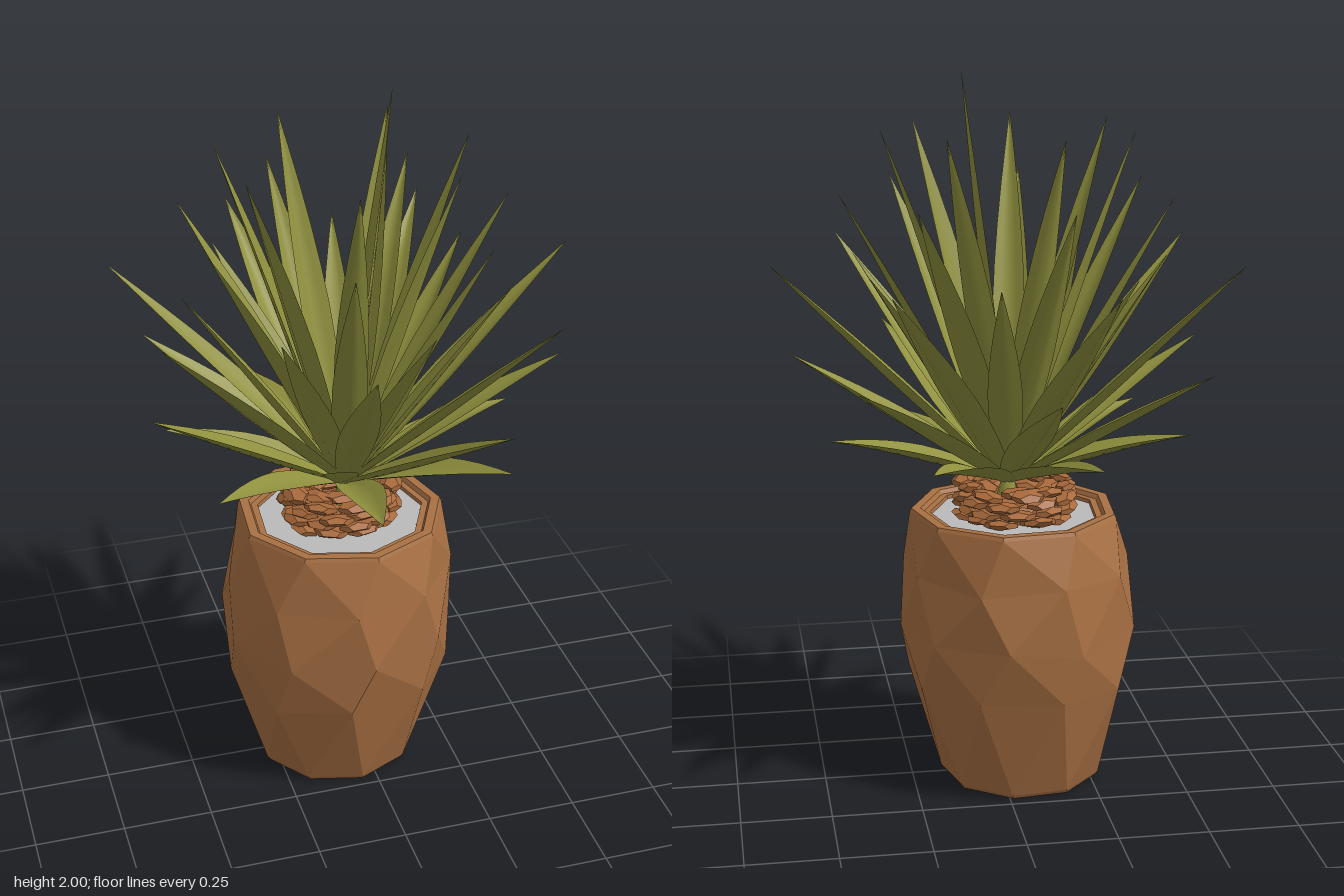
import * as THREE from 'three';

const mat = (name, color, extra = {}) => {
  const m = new THREE.MeshStandardMaterial({ color, ...extra });
  m.name = name;
  return m;
};

// small seeded random in -1..1
function seeded(seed) {
  return () => {
    seed = (seed * 16807) % 2147483647;
    return (seed / 2147483647) * 2 - 1;
  };
}

function meshOf(name, geometry, material) {
  const m = new THREE.Mesh(geometry, material);
  m.name = name;
  return m;
}

// faceted pot: rings of nine slightly uneven corners
function potGeometry() {
  const n = 9, rnd = seeded(77);
  // [y, radius, turn, jitter, centre x]
  const rows = [
    [0, 0, 0, 0, -0.065], [0, 0.222, 0, 0.004, -0.065], [0.012, 0.23, 0, 0, -0.065],
    [0.3, 0.318, 0.3, 0.009, -0.058], [0.46, 0.336, 0, 0.008, -0.058],
    [0.63, 0.326, 0.3, 0.007, -0.055], [0.78, 0.293, 0, 0, -0.045], [0.79, 0.288, 0, 0, -0.045],
    [0.79, 0.262, 0, 0, -0.045], [0.778, 0.255, 0, 0, -0.045],
    [0.778, 0.236, 0, 0, -0.045], [0.755, 0.232, 0, 0, -0.045],
  ];
  const rings = rows.map(([y, r, turn, jit, cx]) => Array.from({ length: n }, (_, j) => {
    const a = ((j + turn + 0.12 + rnd() * jit * 8) / n) * Math.PI * 2;
    const rr = r + rnd() * jit * 0.3;
    const yy = y > 0.1 ? y + rnd() * jit * 2 : y;
    return [cx + Math.cos(a) * rr, yy, Math.sin(a) * rr];
  }));
  const pos = [];
  for (let i = 0; i < rows.length - 1; i++) {
    for (let j = 0; j < n; j++) {
      const k = (j + 1) % n;
      const a = rings[i][j], b = rings[i][k], c = rings[i + 1][j], d = rings[i + 1][k];
      if (rows[i][2] > rows[i + 1][2]) pos.push(...a, ...c, ...d, ...a, ...d, ...b);
      else pos.push(...a, ...c, ...b, ...b, ...c, ...d);
    }
  }
  const g = new THREE.BufferGeometry();
  g.setAttribute('position', new THREE.Float32BufferAttribute(pos, 3));
  g.computeVertexNormals();
  return g;
}

// pointed leaf with a folded cross-section, swept from its base to its tip
function leafGeometry(base, tip, halfWidth, bow) {
  const widths = [0.45, 0.7, 0.89, 0.98, 1, 0.9, 0.74, 0.53, 0.28, 0.02];
  const mid = base.clone().lerp(tip, 0.5);
  mid.y += bow;
  const curve = new THREE.QuadraticBezierCurve3(base, mid, tip);
  const out = tip.clone().sub(base).setY(0).normalize();
  const side = new THREE.Vector3(-out.z, 0, out.x);
  const across = [-1, -0.5, 0, 0.5, 1], m = across.length;
  const pos = [], index = [];
  widths.forEach((k, i) => {
    const t = i / (widths.length - 1), w = k * halfWidth;
    const p = curve.getPoint(t);
    const up = new THREE.Vector3().crossVectors(side, curve.getTangent(t)).normalize();
    if (up.y < 0) up.negate();
    for (const s of across) {
      const q = p.clone().addScaledVector(side, s * w).addScaledVector(up, (Math.abs(s) - 0.5) * w * 0.5);
      pos.push(q.x, q.y, q.z);
    }
    if (i) for (let j = 0; j < m - 1; j++) {
      const a = (i - 1) * m + j, c = i * m + j;
      index.push(a, a + 1, c, a + 1, c + 1, c);
    }
  });
  const g = new THREE.BufferGeometry();
  g.setAttribute('position', new THREE.Float32BufferAttribute(pos, 3));
  g.setIndex(index);
  g.computeVertexNormals();
  return g;
}

export function createModel() {
  const root = new THREE.Group();
  root.name = 'pottedPlant';
  const clay = mat('clay', 0xa87043, { flatShading: true });
  const bark = mat('bark', 0xa8693b, { flatShading: true });
  const gravel = mat('gravel', 0xbababa);
  const leafGreen = mat('leafGreen', 0x8f903d, { side: THREE.DoubleSide });

  root.add(meshOf('pot', potGeometry(), clay));

  // pale filling inside the rim
  const soil = meshOf('soil', new THREE.CircleGeometry(0.234, 9), gravel);
  soil.rotation.set(-Math.PI / 2, 0, -0.24 * Math.PI / 9);
  soil.position.set(-0.045, 0.768, 0);
  root.add(soil);

  // heap of bark chips round the stem
  const chips = new THREE.Group();
  chips.name = 'barkChips';
  chips.position.set(-0.045, 0, -0.01);
  const chipShape = new THREE.DodecahedronGeometry(1, 0);
  const rnd = seeded(4242);
  for (let row = 0; row < 4; row++) {
    for (const [radius, count] of [[0.14, 10], [0.088, 6]]) {
      for (let j = 0; j < count; j++) {
        const a = ((j + row * 0.5 + rnd() * 0.2) / count) * Math.PI * 2;
        const chip = meshOf('barkChip', chipShape, bark);
        const r = radius + rnd() * 0.008;
        chip.position.set(Math.cos(a) * r, 0.782 + row * 0.026 + rnd() * 0.005, Math.sin(a) * r);
        chip.scale.set(0.034, 0.015, 0.052);
        chip.rotation.set(rnd() * 0.22, -a, rnd() * 0.22);
        chips.add(chip);
      }
    }
  }
  root.add(chips);

  // stem
  const stem = meshOf('stem', new THREE.CylinderGeometry(0.008, 0.045, 0.15, 10), leafGreen);
  stem.position.set(-0.025, 0.84, -0.01);
  root.add(stem);

  // seven leaves in each whorl: [tip height, reach, start angle, half width, base height, bow]
  const whorls = [
    [1.02, 0.505, -7.7, 0.06, 0.875, 0.04],
    [1.23, 0.6, 9, 0.057, 0.875, 0.01],
    [1.49, 0.445, 24, 0.047, 0.88, 0.01],
    [1.5, 0.645, -3.6, 0.053, 0.88, 0.005],
    [1.68, 0.455, 0, 0.047, 0.885, 0.02],
    [1.85, 0.345, -3, 0.045, 0.89, 0.04],
  ];
  const leaves = new THREE.Group();
  leaves.name = 'leaves';
  leaves.position.set(-0.025, 0, -0.01);
  for (const [height, reach, start, half, baseY, bow] of whorls) {
    for (let j = 0; j < 7; j++) {
      const a = THREE.MathUtils.degToRad(start + (j * 360) / 7);
      const c = Math.cos(a), s = Math.sin(a);
      const base = new THREE.Vector3(c * 0.018, baseY, s * 0.018);
      const tip = new THREE.Vector3(c * reach, height, s * reach);
      leaves.add(meshOf('leaf', leafGeometry(base, tip, half, bow), leafGreen));
    }
  }
  // upright centre leaf
  leaves.add(meshOf('centreLeaf', leafGeometry(
    new THREE.Vector3(0, 0.89, 0), new THREE.Vector3(0.125, 2, 0.005), 0.046, 0), leafGreen));
  root.add(leaves);
  return root;
}
